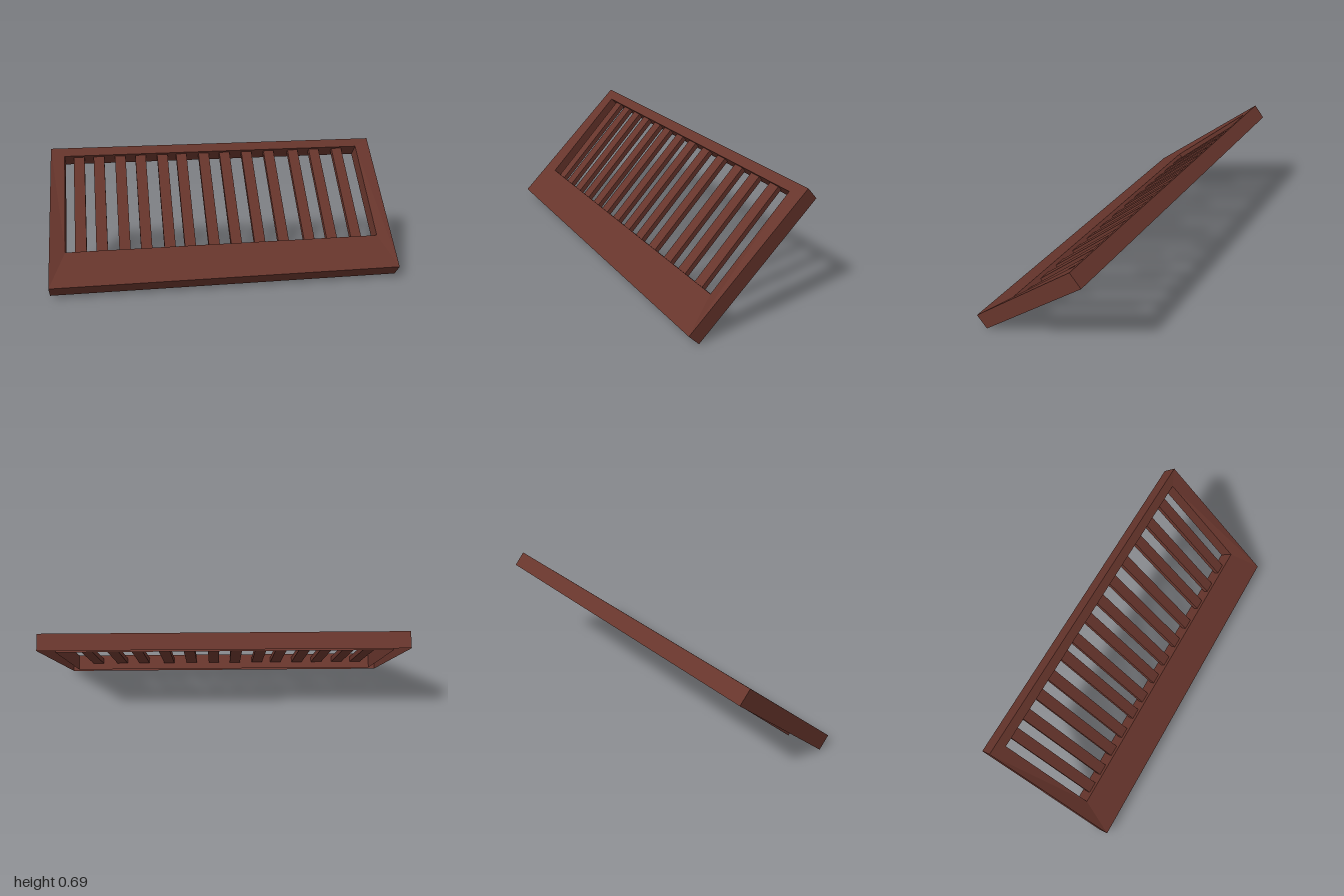
import * as THREE from 'three';

export function createModel() {
  const model = new THREE.Group();
  model.name = 'slattedPanel';
  const wood = new THREE.MeshStandardMaterial({ color: 0x67352c, side: THREE.DoubleSide });
  wood.name = 'redBrownWood';

  // Panel lies in local x (width) and y (up the slope); z is its thickness
  const panel = new THREE.Group();
  panel.name = 'tiltedPanel';
  panel.rotation.x = -0.831;
  panel.position.y = 0.3425;
  model.add(panel);

  // Rectangular loop of corners, with its own depth at the lower and upper edge
  function ring(halfWidth, bottom, top, zBottom, zTop, skew) {
    return [[-1, bottom, zBottom], [1, bottom, zBottom], [1, top, zTop], [-1, top, zTop]]
      .map(([side, y, z]) => new THREE.Vector3(side * halfWidth + skew * y, y, z));
  }

  // Four flat quads joining two loops
  function addBand(name, a, b) {
    const points = [];
    a.forEach((p, i) => {
      const j = (i + 1) % 4;
      points.push(p, a[j], b[j], p, b[j], b[i]);
    });
    const geometry = new THREE.BufferGeometry().setFromPoints(points);
    geometry.computeVertexNormals();
    const mesh = new THREE.Mesh(geometry, wood);
    mesh.name = name;
    panel.add(mesh);
  }

  // Open-backed frame; the opening sinks in a little towards its lower edge
  const rimBack = ring(0.995, -0.4585, 0.4585, -0.046, -0.046, 0.009);
  const rimFront = ring(0.995, -0.4585, 0.4585, 0.046, 0.046, 0.009);
  const openingFront = ring(0.911, -0.235, 0.402, 0.025, 0.042, 0.001);
  const openingBack = ring(0.911, -0.232, 0.404, -0.064, -0.047, 0.001);
  addBand('outerRim', rimBack, rimFront);
  addBand('frameFace', rimFront, openingFront);
  addBand('openingWalls', openingFront, openingBack);

  // Thin slats, their ends set just through the opening walls
  const slats = new THREE.Group();
  slats.name = 'slats';
  panel.add(slats);
  const centres = [-0.826, -0.708, -0.58, -0.457, -0.323, -0.206, -0.067,
    0.064, 0.203, 0.345, 0.501, 0.639, 0.789];
  for (const x of centres) {
    const slat = new THREE.Mesh(new THREE.BoxGeometry(0.064, 0.655, 0.03), wood);
    slat.name = 'slat';
    slat.rotation.x = 0.035;
    slat.position.set(x, 0.084, 0);
    slats.add(slat);
  }
  return model;
}
